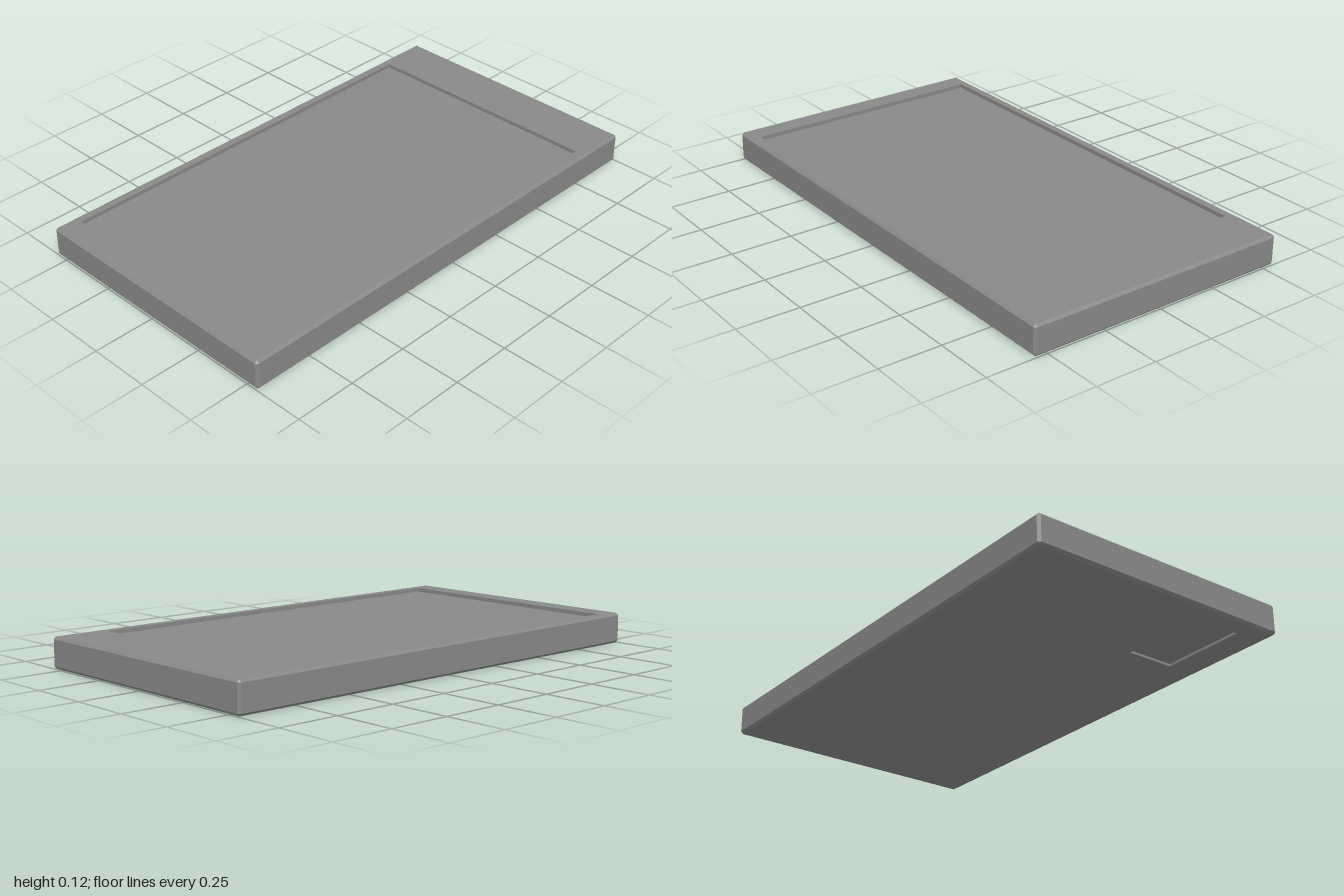
import * as THREE from 'three';

const H = 0.123;     // slab height
const C = 0.01;      // edge chamfer
const DEEP = 0.016;  // top recess depth
const SHALLOW = 0.01; // underside recess depth

// A rectangular ring of eight points at height y, corners cut by q
function ring([x0, x1, z0, z1], y, q = 0) {
  return [
    [x1 - q, z1], [x1, z1 - q], [x1, z0 + q], [x1 - q, z0],
    [x0 + q, z0], [x0, z0 + q], [x0, z1 - q], [x0 + q, z1],
  ].map(([x, z]) => new THREE.Vector3(x, y, z));
}

// Flat-shaded skin joining consecutive rings
function loft(name, rings, material) {
  const points = [];
  const tri = new THREE.Triangle();
  const add = (a, b, c) => {
    if (tri.set(a, b, c).getArea() > 1e-9) points.push(a, b, c);
  };
  for (let r = 0; r < rings.length - 1; r++) {
    const lo = rings[r], hi = rings[r + 1];
    for (let i = 0; i < 8; i++) {
      const j = (i + 1) % 8;
      add(lo[i], lo[j], hi[j]);
      add(lo[i], hi[j], hi[i]);
    }
  }
  const geometry = new THREE.BufferGeometry().setFromPoints(points);
  geometry.computeVertexNormals();
  const mesh = new THREE.Mesh(geometry, material);
  mesh.name = name;
  return mesh;
}

// Collapse a rectangle to its centre, used to close a recess floor
function centre([x0, x1, z0, z1]) {
  const x = (x0 + x1) / 2, z = (z0 + z1) / 2;
  return [x, x, z, z];
}

export function createModel() {
  const material = new THREE.MeshStandardMaterial({ color: 0x888888, flatShading: true });
  const group = new THREE.Group();
  group.name = 'recessedSlab';

  const outer = [-1, 1, -0.553, 0.553];
  const inset = [-1 + C, 1 - C, -0.553 + C, 0.553 - C];
  const screen = [-0.907, 0.78, -0.513, 0.51];
  const pocket = [-0.92, -0.57, 0.225, 0.427];

  // Chamfered casing, from the pocket rim underneath to the screen rim on top
  group.add(loft('casing', [
    ring(pocket, 0),
    ring(inset, 0),
    ring(outer, C, C),
    ring(outer, H - C, C),
    ring(inset, H),
    ring(screen, H),
  ], material));

  // Sunken panel on the top
  group.add(loft('screenRecess', [
    ring(screen, H),
    ring(screen, H - DEEP),
    ring(centre(screen), H - DEEP),
  ], material));

  // Shallow pocket in the underside
  group.add(loft('undersidePocket', [
    ring(centre(pocket), SHALLOW),
    ring(pocket, SHALLOW),
    ring(pocket, 0),
  ], material));

  return group;
}
